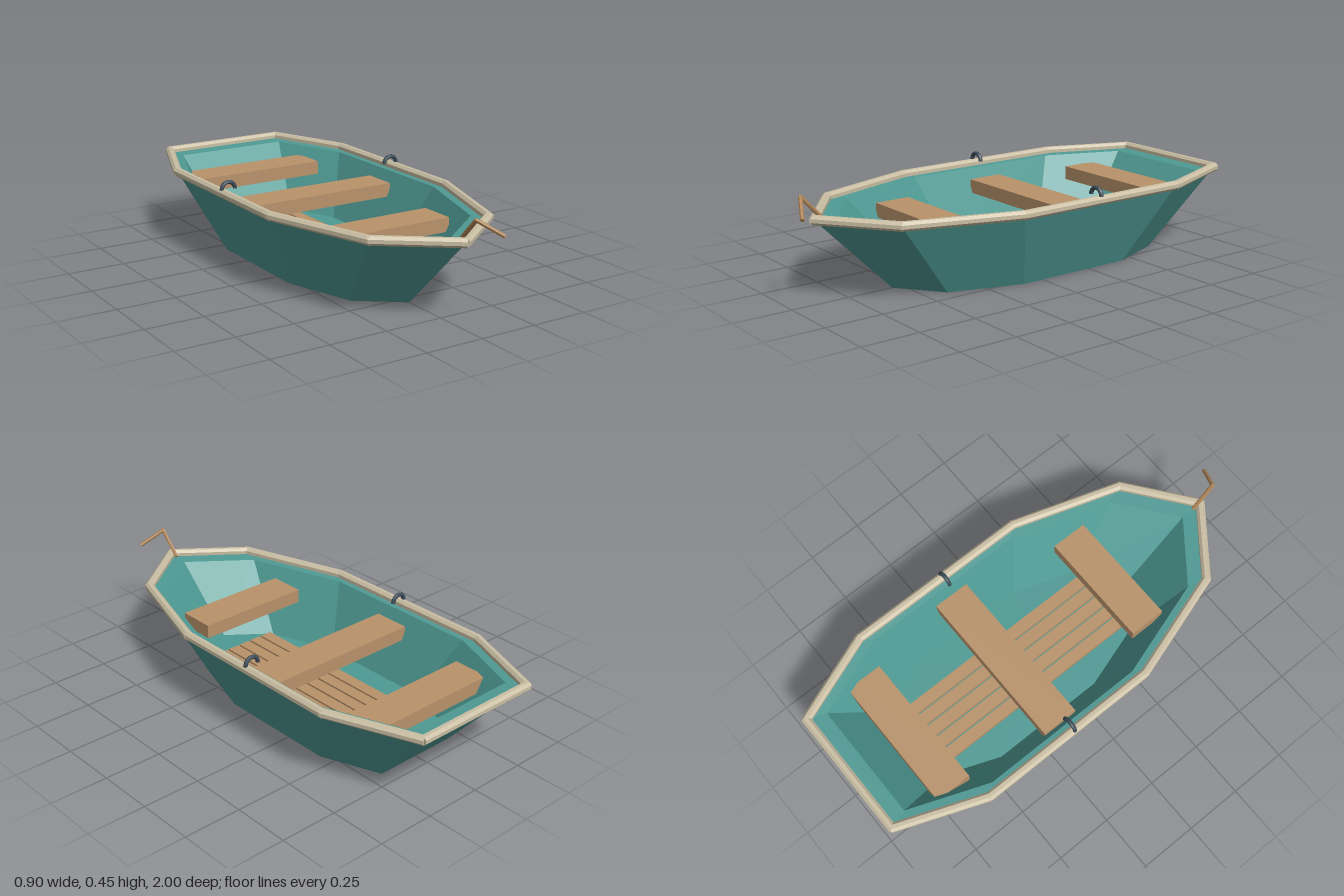
import * as THREE from 'three';

const mat = (name, color) => {
  const m = new THREE.MeshStandardMaterial({ color, flatShading: true });
  m.name = name;
  return m;
};

// Half outline of the rim (x, z), bow to stern, then mirrored into a full loop
const HALF = [[0, 0.89], [0.28, 0.675], [0.43, 0.205], [0.43, -0.605], [0.285, -0.98]];
const RIM = [...HALF, ...HALF.slice(1).reverse().map(([x, z]) => [-x, z])];

// Scaled copy of the rim outline, shifted along z, at height y
const ring = (scale, shift, y) =>
  RIM.map(([x, z]) => new THREE.Vector3(x * scale, y, z * scale + shift));

function loft(rings) {
  const pts = [];
  for (let r = 0; r < rings.length - 1; r++) {
    const a = rings[r], b = rings[r + 1];
    for (let i = 0; i < a.length; i++) {
      const j = (i + 1) % a.length;
      const tris = [[a[i], a[j], b[j]], [a[i], b[j], b[i]]];
      for (const t of tris) {
        const area = new THREE.Triangle(...t).getArea();
        if (area > 1e-8) pts.push(...t);
      }
    }
  }
  const g = new THREE.BufferGeometry().setFromPoints(pts);
  g.computeVertexNormals();
  return g;
}

// Faceted bar between two points, with flats on top and sides
function bar(a, b, apothem, sides, material, name) {
  const g = new THREE.CylinderGeometry(1, 1, 1, sides);
  g.rotateY(Math.PI / sides);
  g.rotateX(Math.PI / 2);
  const r = apothem / Math.cos(Math.PI / sides);
  g.scale(r, r, a.distanceTo(b));
  const m = new THREE.Mesh(g, material);
  m.position.copy(a).lerp(b, 0.5);
  m.lookAt(b);
  m.name = name;
  return m;
}

export function createModel() {
  const boat = new THREE.Group();
  boat.name = 'rowingBoat';
  const teal = mat('tealPaint', 0x4f9a94);
  const cream = mat('paleTrim', 0xcabfa4);
  const wood = mat('seatWood', 0xb8926a);
  const steel = mat('darkIron', 0x3c4c58);
  const stick = mat('handleWood', 0xb08658);

  const add = (geometry, material, name, x = 0, y = 0, z = 0) => {
    const m = new THREE.Mesh(geometry, material);
    m.position.set(x, y, z);
    m.name = name;
    boat.add(m);
    return m;
  };

  // Hull shell: bottom, outer wall, ledge, inner wall, floor
  add(loft([
    ring(0, -0.04, 0),
    ring(0.66, -0.04, 0),
    ring(0.995, 0, 0.332),
    ring(0.905, -0.013, 0.328),
    ring(0.63, -0.047, 0.06),
    ring(0, -0.047, 0.06),
  ]), teal, 'hull');

  // Rail around the rim
  const rail = ring(1, 0, 0.338);
  rail.forEach((p, i) => {
    const q = rail[(i + 1) % rail.length];
    const d = q.clone().sub(p).setLength(0.006);
    boat.add(bar(p.clone().sub(d), q.clone().add(d), 0.0185, 8, cream, 'rail'));
  });

  // Floor slats
  for (let i = -2; i <= 2; i++) {
    add(new THREE.BoxGeometry(0.053, 0.02, 0.96), wood, 'floorSlat', i * 0.062, 0.07, -0.11);
  }

  // Seats
  add(new THREE.BoxGeometry(0.72, 0.06, 0.16), wood, 'middleSeat', 0, 0.255, -0.185);
  add(new THREE.BoxGeometry(0.515, 0.06, 0.16), wood, 'frontSeat', 0, 0.255, 0.375);
  // Rear seat has its back corners clipped
  const plan = new THREE.Shape([
    [-0.3, 0.61], [0.3, 0.61], [0.3, 0.72], [0.285, 0.77], [-0.285, 0.77], [-0.3, 0.72],
  ].map(([x, y]) => new THREE.Vector2(x, y)));
  const rear = new THREE.ExtrudeGeometry(plan, { depth: 0.06, bevelEnabled: false });
  rear.rotateX(-Math.PI / 2);
  add(rear, wood, 'rearSeat', 0, 0.225, 0);

  // Oarlock arches
  for (const s of [-1, 1]) {
    add(new THREE.TorusGeometry(0.031, 0.009, 8, 12, Math.PI), steel, 'oarlock', s * 0.408, 0.355, -0.175);
  }

  // Bent handle at the bow
  const foot = new THREE.Vector3(0, 0.335, 0.85);
  const elbow = new THREE.Vector3(0, 0.438, 0.945);
  const tip = new THREE.Vector3(0.095, 0.374, 0.992);
  boat.add(bar(foot, elbow, 0.0075, 6, stick, 'bowHandle'));
  boat.add(bar(elbow, tip, 0.0075, 6, stick, 'bowHandle'));
  add(new THREE.IcosahedronGeometry(0.0085, 0), stick, 'handleElbow', 0, 0.438, 0.945);

  return boat;
}
